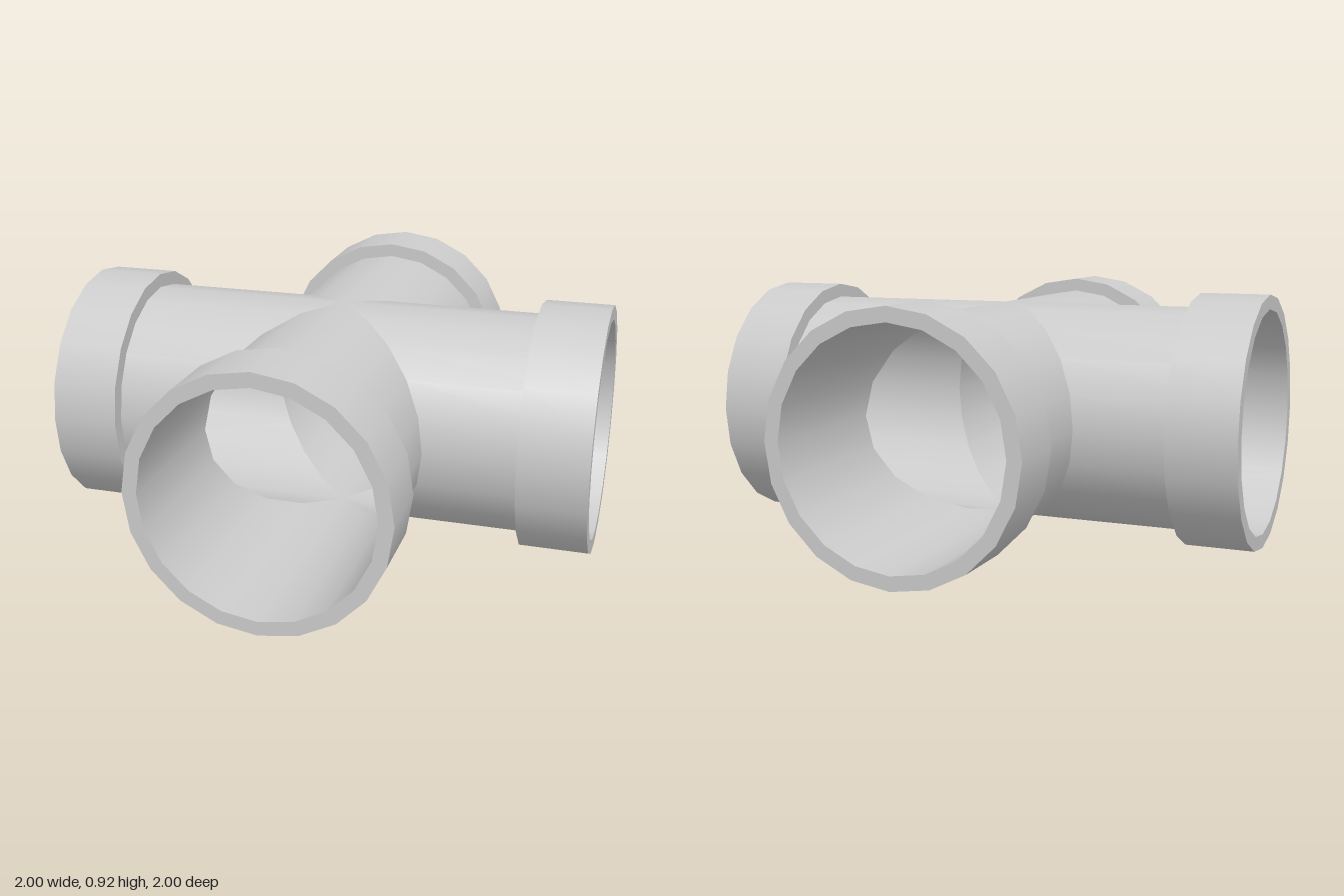
import * as THREE from 'three';
import { mergeGeometries } from 'three/addons/utils/BufferGeometryUtils.js';

const SIDES = 20;
const PIPE_R = 0.41;    // pipe and bore radius
const COLLAR_R = 0.462; // outer radius of the end collars
const COLLAR_START = 0.75;
const END = 1;

// Open pipe along +z whose inner end is mitred at 45 degrees to meet its neighbours
function pipeGeometry() {
  const geo = new THREE.CylinderGeometry(PIPE_R, PIPE_R, 1, SIDES, 1, true).rotateX(Math.PI / 2);
  const pos = geo.attributes.position;
  for (let i = 0; i < pos.count; i++) {
    pos.setZ(i, pos.getZ(i) > 0 ? END : Math.abs(pos.getX(i)));
  }
  return geo;
}

// Raised collar: outer band plus a flat ring on each side
function collarGeometry() {
  const length = END - COLLAR_START;
  const band = new THREE.CylinderGeometry(COLLAR_R, COLLAR_R, length, SIDES, 1, true)
    .rotateX(Math.PI / 2)
    .translate(0, 0, COLLAR_START + length / 2);
  const rim = new THREE.RingGeometry(PIPE_R, COLLAR_R, SIDES).translate(0, 0, END);
  const shoulder = new THREE.RingGeometry(PIPE_R, COLLAR_R, SIDES)
    .rotateY(Math.PI)
    .translate(0, 0, COLLAR_START);
  return mergeGeometries([band, rim, shoulder]);
}

export function createModel() {
  const model = new THREE.Group();
  model.name = 'pipeCross';
  const material = new THREE.MeshStandardMaterial({ color: 0xcccccc, side: THREE.DoubleSide });
  const pipeGeo = pipeGeometry();
  const collarGeo = collarGeometry();

  // Four identical arms around the vertical axis
  ['front', 'left', 'back', 'right'].forEach((side, i) => {
    const arm = new THREE.Group();
    arm.name = `${side}Arm`;
    const pipe = new THREE.Mesh(pipeGeo, material);
    pipe.name = `${side}Pipe`;
    const collar = new THREE.Mesh(collarGeo, material);
    collar.name = `${side}Collar`;
    arm.add(pipe, collar);
    arm.position.y = COLLAR_R;
    arm.rotation.y = i * Math.PI / 2;
    model.add(arm);
  });
  return model;
}
